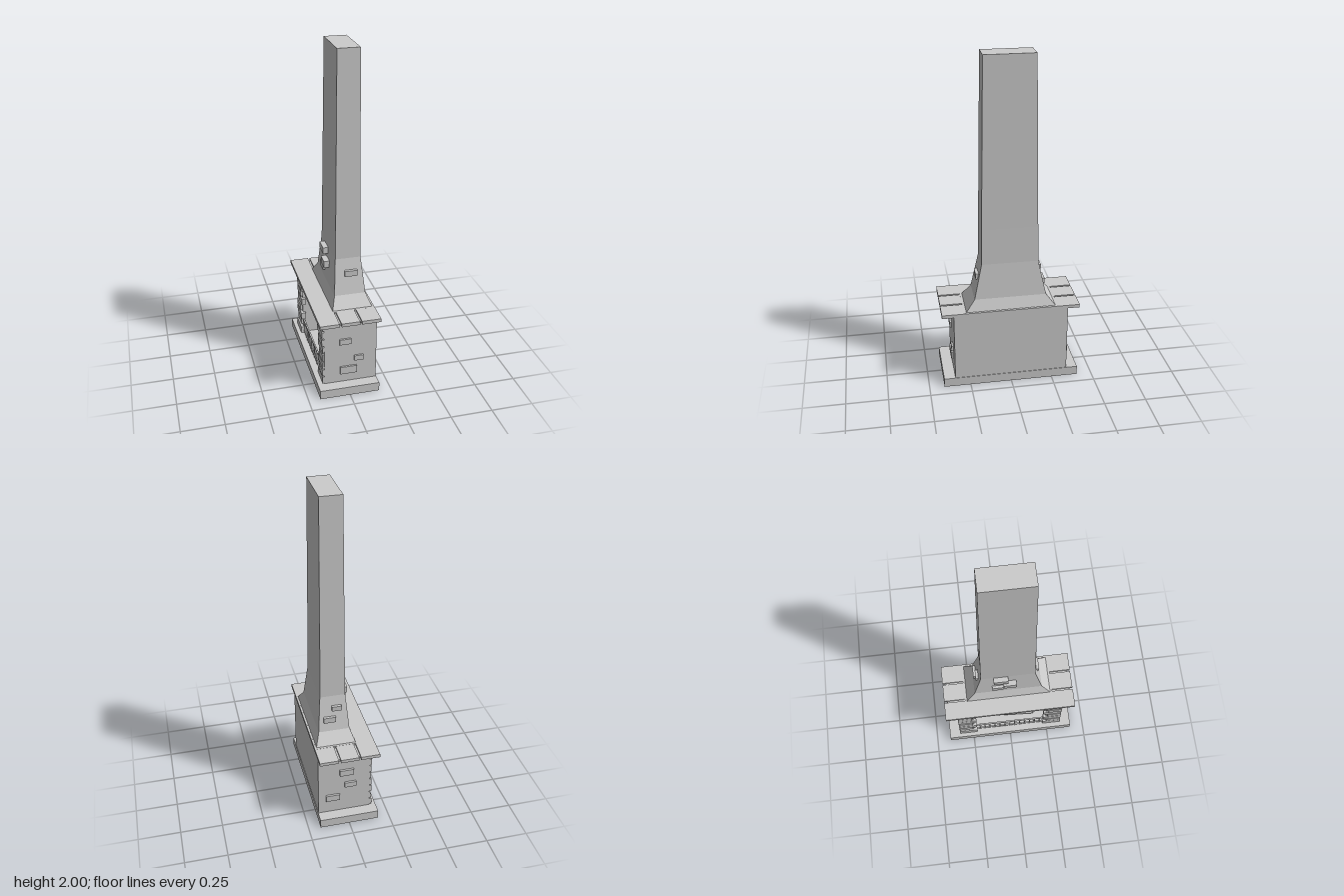
import * as THREE from 'three';

const stone = new THREE.MeshStandardMaterial({ color: 0xcccccc });
stone.name = 'grey stone';

export function createModel() {
  const model = new THREE.Group();
  model.name = 'fireplace';

  const group = (name) => {
    const g = new THREE.Group();
    g.name = name;
    model.add(g);
    return g;
  };
  const add = (parent, name, geometry) => {
    const mesh = new THREE.Mesh(geometry, stone);
    mesh.name = name;
    parent.add(mesh);
    return mesh;
  };
  // box from its limits on each axis
  const box = (parent, name, x0, x1, y0, y1, z0, z1) => {
    const mesh = add(parent, name, new THREE.BoxGeometry(x1 - x0, y1 - y0, z1 - z0));
    mesh.position.set((x0 + x1) / 2, (y0 + y1) / 2, (z0 + z1) / 2);
    return mesh;
  };
  // small seeded random for rough stones
  let seed = 7;
  const rough = (amount) => {
    seed = (seed * 16807) % 2147483647;
    return (seed / 2147483647 - 0.5) * 2 * amount;
  };

  // base plinth
  box(model, 'plinth', -0.18, 0.178, 0, 0.055, -0.41, 0.41);

  // hearth body with the opening facing -x
  const outline = new THREE.Shape();
  [[-0.342, 0.055], [-0.24, 0.055], [-0.24, 0.41], [0.24, 0.41], [0.24, 0.055],
    [0.342, 0.055], [0.342, 0.478], [-0.342, 0.478]]
    .forEach(([z, y], i) => (i ? outline.lineTo(z, y) : outline.moveTo(z, y)));
  const surround = new THREE.ExtrudeGeometry(outline, { depth: 0.27, bevelEnabled: false });
  surround.rotateY(-Math.PI / 2); // shape x becomes z, depth runs to -x
  surround.translate(0.13, 0, 0);
  add(model, 'hearthSurround', surround);
  box(model, 'hearthBackWall', 0.12, 0.175, 0.055, 0.478, -0.342, 0.342);

  // mantel: lower slab and separated top plates
  const mantel = group('mantel');
  box(mantel, 'mantelSlab', -0.175, 0.175, 0.474, 0.486, -0.39, 0.39);
  const strips = [[-0.18, -0.066], [-0.054, 0.054], [0.066, 0.179]];
  strips.forEach(([x0, x1]) => {
    const plate = box(mantel, 'mantelPlate', x0, x1, 0.476, 0.498, -0.412, 0.412);
    const p = plate.geometry.attributes.position;
    for (let i = 0; i < p.count; i++) {
      if (p.getY(i) > 0) p.setY(i, p.getY(i) - 0.002 * (p.getZ(i) < 0 ? 1 : 0.5));
    }
    plate.geometry.computeVertexNormals();
  });
  box(mantel, 'mantelCore', -0.07, 0.17, 0.48, 0.497, -0.28, 0.28);

  // chimney: loft of rectangles [y, x0, x1, half depth]
  const rings = [
    [0.495, -0.071, 0.167, 0.268],
    [0.565, -0.046, 0.14, 0.213],
    [0.78, -0.03, 0.121, 0.167],
    [1.0, -0.027, 0.118, 0.164],
    [2.0, -0.017, 0.112, 0.146],
  ].map(([y, a, b, z]) => [[a, y, z], [b, y, z], [b, y, -z], [a, y, -z]]);
  const pts = [];
  const quad = (a, b, c, d) => pts.push(...a, ...b, ...c, ...a, ...c, ...d);
  for (let i = 0; i < rings.length - 1; i++) {
    for (let j = 0; j < 4; j++) {
      const k = (j + 1) % 4;
      quad(rings[i][j], rings[i][k], rings[i + 1][k], rings[i + 1][j]);
    }
  }
  quad(...rings[rings.length - 1]);
  const shaft = new THREE.BufferGeometry();
  shaft.setAttribute('position', new THREE.Float32BufferAttribute(pts, 3));
  shaft.computeVertexNormals();
  add(model, 'chimney', shaft);

  // raised bricks
  const bricks = group('raisedBricks');
  [
    // left and right ends of the body
    [-0.05, 0.02, 0.315, 0.35, 0.33, 0.353],
    [0.04, 0.095, 0.195, 0.228, 0.33, 0.353],
    [-0.045, 0.055, 0.112, 0.16, 0.33, 0.353],
    [-0.04, 0.045, 0.325, 0.365, -0.355, -0.33],
    [-0.055, 0.015, 0.235, 0.268, -0.355, -0.33],
    [0.045, 0.13, 0.145, 0.185, -0.355, -0.33],
    // chimney ends
    [0.02, 0.095, 0.675, 0.71, 0.17, 0.2],
    [-0.003, 0.055, 0.69, 0.72, -0.197, -0.17],
    [0.035, 0.107, 0.62, 0.655, -0.21, -0.18],
    // chimney face above the opening
    [-0.062, -0.025, 0.735, 0.775, -0.09, 0],
    [-0.069, -0.03, 0.668, 0.71, -0.03, 0.05],
    [-0.057, -0.03, 0.612, 0.652, -0.1, -0.03],
  ].forEach((b) => box(bricks, 'brick', ...b));

  // stacked stones beside the opening, alternating in length
  const frame = group('openingStones');
  const rows = 8;
  const step = 0.41 / rows;
  for (const side of [-1, 1]) {
    for (let i = 0; i < rows; i++) {
      const inner = i % 2 ? 0.25 : 0.222;
      const zMid = side * (inner + 0.34) / 2;
      const half = (0.34 - inner) / 2;
      const y = 0.058 + i * step;
      box(frame, 'jambStone', -0.152 + rough(0.004), -0.125, y, y + step - 0.008,
        zMid - half, zMid + half);
    }
  }
  // lintel stones over the opening
  for (let i = 0; i < 7; i++) {
    const z = -0.22 + i * 0.063;
    box(frame, 'lintelStone', -0.15 + rough(0.004), -0.125, 0.405 + rough(0.006), 0.462, z, z + 0.055);
  }

  // fire grate
  const grate = group('grate');
  for (let i = 0; i <= 14; i++) {
    const z = -0.235 + (i * 0.47) / 14;
    box(grate, 'grateBar', -0.138, -0.132, 0.055, 0.155, z - 0.003, z + 0.003);
  }
  for (const y of [0.07, 0.145]) {
    box(grate, 'grateRail', -0.14, -0.13, y, y + 0.008, -0.24, 0.24);
  }

  // logs piled on the hearth floor
  const logs = group('logs');
  [[-0.045, 0.08, 0.02, 0.05], [0.015, 0.08, -0.02, -0.06], [0.07, 0.08, 0.01, 0.03],
    [-0.015, 0.122, 0, 0.12], [0.04, 0.122, 0.01, -0.1]].forEach(([x, y, z, turn]) => {
    const log = add(logs, 'log', new THREE.CylinderGeometry(0.025, 0.025, 0.3, 8));
    log.rotation.set(Math.PI / 2, 0, turn);
    log.position.set(x, y, z);
  });

  return model;
}
